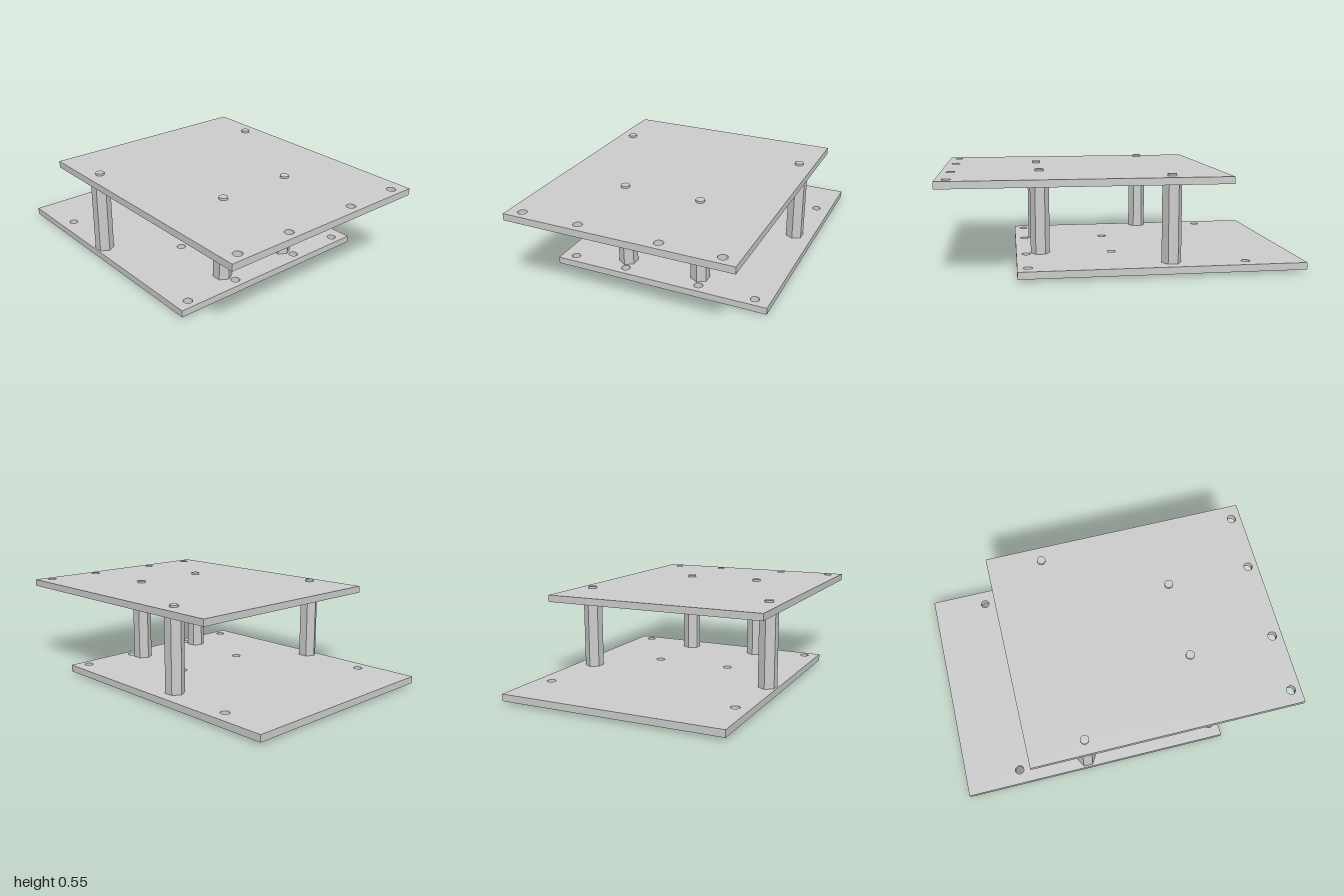
import * as THREE from 'three';

const material = new THREE.MeshStandardMaterial({ color: 0xcccccc });

// Plate outline and hole pattern, centred on the plate
const W = 1.307, D = 1.585, T = 0.04, HOLE = 0.0255;
const holes = [
  [-0.57, 0.735], [-0.232, 0.735], [0.229, 0.735], [0.565, 0.735],
  [-0.232, 0.238], [0.229, 0.238],
  [-0.57, -0.467], [0.565, -0.467],
];

function plateGeometry() {
  const s = new THREE.Shape([
    new THREE.Vector2(-W / 2, -D / 2), new THREE.Vector2(W / 2, -D / 2),
    new THREE.Vector2(W / 2, D / 2), new THREE.Vector2(-W / 2, D / 2),
  ]);
  for (const [x, z] of holes) {
    const h = new THREE.Path();
    h.absarc(x, -z, HOLE, 0, Math.PI * 2, true);
    s.holes.push(h);
  }
  const g = new THREE.ExtrudeGeometry(s, { depth: T, bevelEnabled: false, curveSegments: 32 });
  return g.rotateX(-Math.PI / 2); // thickness upwards, shape y becomes -z
}

export function createModel() {
  const model = new THREE.Group();
  model.name = 'standoffPlates';

  const add = (parent, geometry, name, x, y, z) => {
    const m = new THREE.Mesh(geometry, material);
    m.name = name;
    m.position.set(x, y, z);
    parent.add(m);
  };

  // Two identical plates, offset front to back
  const plate = plateGeometry();
  const top = { x: -0.0135, z: 0.2075 };
  add(model, plate, 'lowerPlate', 0.0115, 0.013, -0.2075);
  add(model, plate, 'upperPlate', top.x, 0.493, top.z);

  // Hexagonal standoffs with a round stud passing through both plates
  const hex = new THREE.CylinderGeometry(0.055, 0.055, 0.44, 6).toNonIndexed();
  hex.computeVertexNormals();
  const stud = new THREE.CylinderGeometry(HOLE, HOLE, 0.545, 32);
  for (const [x, z] of holes.slice(4)) {
    const standoff = new THREE.Group();
    standoff.name = 'standoff';
    standoff.position.set(top.x + x, 0, top.z + z);
    add(standoff, hex, 'hexPost', 0, 0.273, 0);
    add(standoff, stud, 'stud', 0, 0.2725, 0);
    model.add(standoff);
  }
  return model;
}
